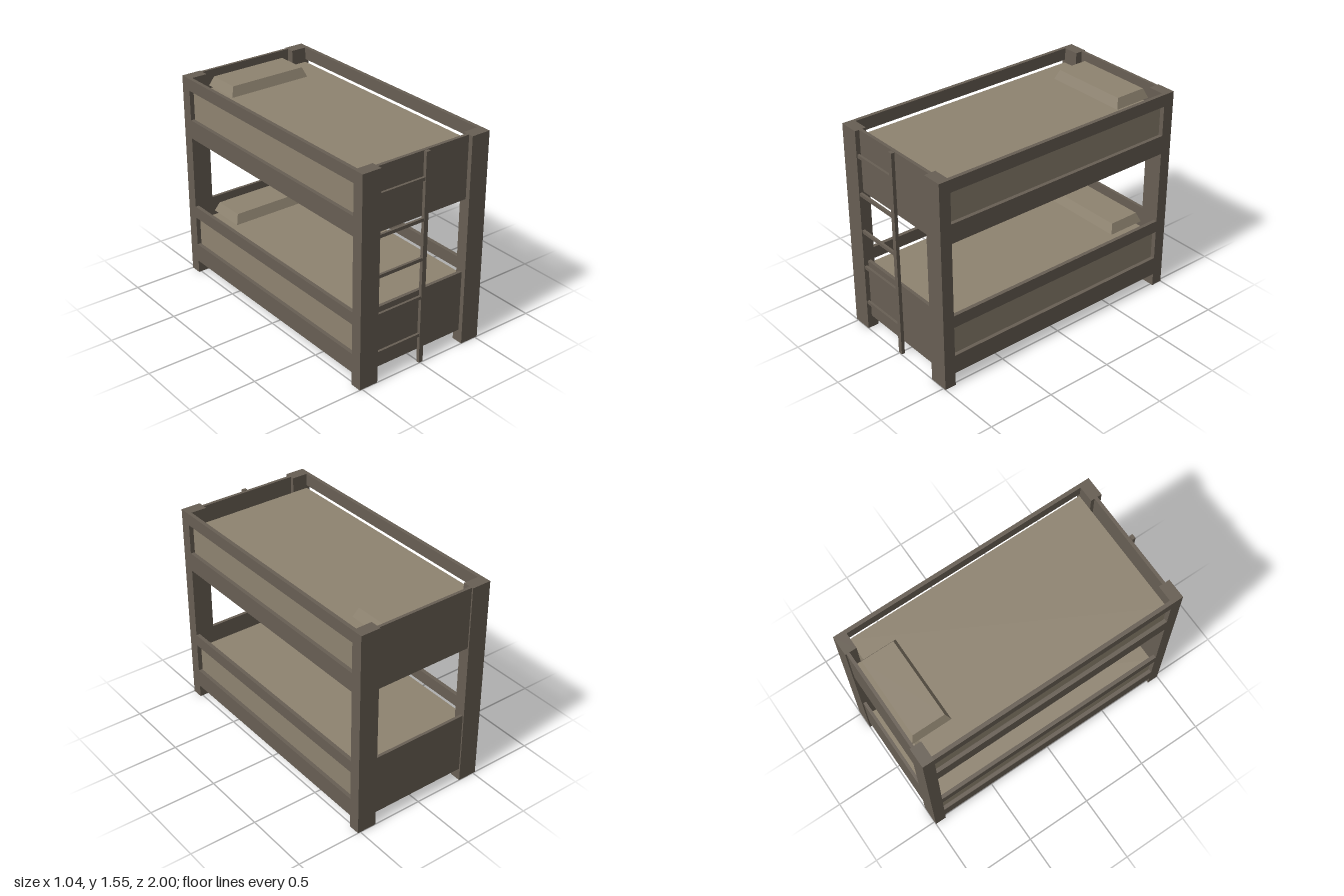
import * as THREE from 'three';

export function createModel() {
  const model = new THREE.Group();
  model.name = 'bunkBed';
  const wood = new THREE.MeshStandardMaterial({ color: 0x685f54, side: THREE.DoubleSide });
  wood.name = 'darkWood';
  const fabric = new THREE.MeshStandardMaterial({ color: 0x8f8471, side: THREE.DoubleSide });
  fabric.name = 'beddingFabric';

  // Drops the underside of a box geometry (face 3 of 6)
  function openBottom(geo) {
    const index = Array.from(geo.index.array);
    index.splice(18, 6);
    geo.setIndex(index);
    geo.clearGroups();
    return geo;
  }

  // Box given by its extents on each axis
  function box(name, mat, [x0, x1], [y0, y1], [z0, z1], parent = model, open = false) {
    const geo = new THREE.BoxGeometry(x1 - x0, y1 - y0, z1 - z0);
    const mesh = new THREE.Mesh(open ? openBottom(geo) : geo, mat);
    mesh.name = name;
    mesh.position.set((x0 + x1) / 2, (y0 + y1) / 2, (z0 + z1) / 2);
    parent.add(mesh);
    return mesh;
  }

  // Pillow: a box whose top is drawn in on all sides
  function pillow(y, parent) {
    const w = 0.65, h = 0.07, d = 0.295, inset = 0.028;
    const geo = openBottom(new THREE.BoxGeometry(w, h, d));
    const p = geo.attributes.position;
    for (let i = 0; i < p.count; i++) {
      if (p.getY(i) < 0) continue;
      p.setX(i, p.getX(i) - Math.sign(p.getX(i)) * inset);
      p.setZ(i, p.getZ(i) - Math.sign(p.getZ(i)) * inset);
    }
    geo.computeVertexNormals();
    const mesh = new THREE.Mesh(geo, fabric);
    mesh.name = 'pillow';
    mesh.position.set(-0.003, y + h / 2, -0.813);
    parent.add(mesh);
  }

  // Corner posts
  for (const x of [[-0.52, -0.373], [0.373, 0.52]])
    for (const z of [[-1, -0.915], [0.915, 1]])
      box('cornerPost', wood, x, [0, 1.555], z, model, true);

  // Two bunks
  for (const [name, y] of [['lowerBunk', 0], ['upperBunk', 1.003]]) {
    const bunk = new THREE.Group();
    bunk.name = name;
    model.add(bunk);
    box('bedBase', wood, [-0.49, 0.49], [y + 0.105, y + 0.125], [-0.91, 0.91], bunk);
    box('mattress', fabric, [-0.49, 0.49], [y + 0.125, y + 0.442], [-0.91, 0.91], bunk);
    pillow(y + 0.442, bunk);
    for (const x of [[-0.52, -0.492], [0.492, 0.52]]) {
      box('sideRail', wood, x, [y + 0.097, y + 0.238], [-0.915, 0.915], bunk);
      box('guardRail', wood, x, [y + 0.462, y + 0.552], [-0.915, 0.915], bunk);
    }
    box('footPanel', wood, [-0.373, 0.373], [y + 0.095, y + 0.552], [0.943, 0.967], bunk);
    box('headPanel', wood, [-0.373, 0.373], [y + 0.095, y + 0.552], [-0.99, -0.968], bunk);
  }

  // Ladder at the front: one stile, rungs run to the corner post
  const ladder = new THREE.Group();
  ladder.name = 'ladder';
  model.add(ladder);
  box('ladderStile', wood, [-0.01, 0.024], [0, 1.555], [0.972, 0.997], ladder);
  for (let i = 0; i < 5; i++) {
    const y = 0.218 + i * 0.288;
    box('ladderRung', wood, [-0.373, -0.01], [y - 0.012, y + 0.012], [0.976, 0.994], ladder);
  }
  return model;
}
